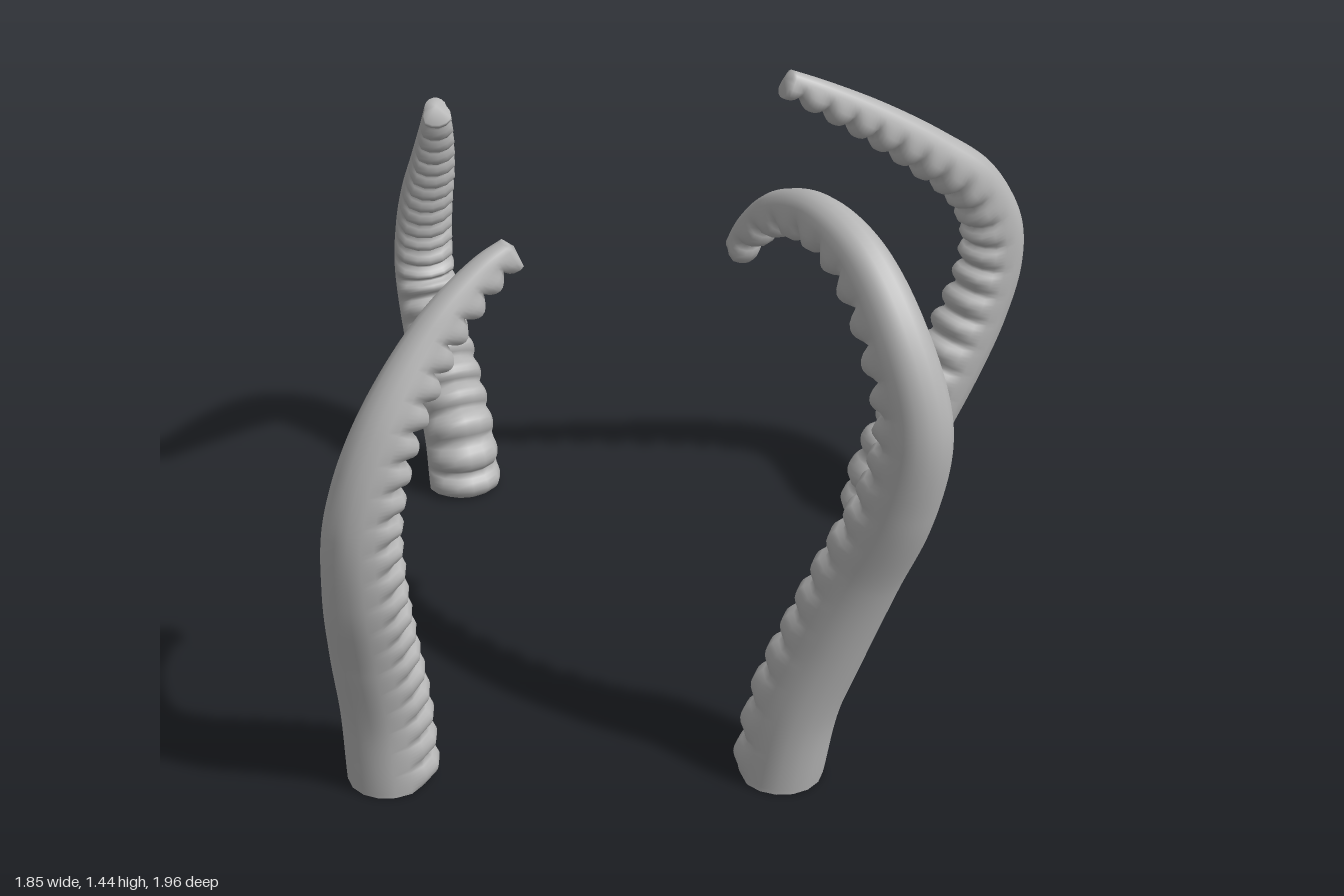
import * as THREE from 'three';

const SIDES = 16, RIDGES = 21.6, ROWS = 150;
const UP = new THREE.Vector3(0, 1, 0);

// Each tentacle: centre line points and the horizontal direction its suckers face
const TENTACLES = [
  { name: 'frontRightTentacle', face: [0.72, -0.69], path: [
    [-0.55, 0, 0.75], [-0.555, 0.2, 0.76], [-0.56, 0.4, 0.81], [-0.555, 0.6, 0.87], [-0.54, 0.8, 0.895],
    [-0.485, 1.0, 0.86], [-0.385, 1.2, 0.75], [-0.29, 1.31, 0.66], [-0.24, 1.345, 0.62]] },
  { name: 'frontLeftTentacle', face: [-0.71, -0.71], path: [
    [0.385, 0, 0.6], [0.42, 0.2, 0.6], [0.49, 0.4, 0.605], [0.565, 0.6, 0.62], [0.64, 0.8, 0.655],
    [0.668, 1.0, 0.67], [0.61, 1.2, 0.63], [0.52, 1.34, 0.54], [0.42, 1.39, 0.44],
    [0.32, 1.36, 0.34], [0.25, 1.28, 0.27], [0.22, 1.22, 0.24]] },
  { name: 'backRightTentacle', face: [0.48, 0.88], path: [
    [-0.69, 0, -0.665], [-0.705, 0.15, -0.685], [-0.755, 0.3, -0.765], [-0.815, 0.45, -0.86], [-0.845, 0.6, -0.9],
    [-0.83, 0.75, -0.86], [-0.79, 0.9, -0.76], [-0.735, 1.05, -0.63], [-0.68, 1.2, -0.48], [-0.645, 1.3, -0.37]] },
  { name: 'backLeftTentacle', face: [-0.91, 0.41], path: [
    [0.56, 0, -0.68], [0.59, 0.15, -0.695], [0.66, 0.3, -0.73], [0.735, 0.45, -0.775], [0.8, 0.6, -0.82],
    [0.84, 0.75, -0.85], [0.835, 0.87, -0.85], [0.77, 1.0, -0.82], [0.655, 1.1, -0.77],
    [0.5, 1.21, -0.7], [0.35, 1.3, -0.63], [0.26, 1.345, -0.595]] },
];

// Tapered tube with rounded ridges along its inner side
function tentacleGeometry({ path, face }) {
  const curve = new THREE.CatmullRomCurve3(path.map(p => new THREE.Vector3(...p)));
  curve.arcLengthDivisions = 400;
  const inward = new THREE.Vector3(face[0], 0, face[1]).normalize();
  const across = new THREE.Vector3().crossVectors(UP, inward);
  const pos = [], index = [];

  for (let i = 0; i <= ROWS; i++) {
    const t = i / ROWS;
    const centre = curve.getPointAt(t);
    // the first rows turn level so the foot is cut flat
    const along = curve.getTangentAt(t).lerp(UP, Math.max(0, 1 - t * 10)).normalize();
    const inner = new THREE.Vector3().crossVectors(across, along).normalize();
    const side = new THREE.Vector3().crossVectors(along, inner);
    const radius = 0.104 * (1 - 0.72 * Math.pow(t, 1.6));
    const ridge = Math.pow(Math.abs(Math.sin(Math.PI * RIDGES * t)), 0.7);
    const height = 0.3 + 0.55 * t * t;
    for (let j = 0; j < SIDES; j++) {
      const a = j / SIDES * Math.PI * 2;
      const w = THREE.MathUtils.smoothstep(Math.cos(a), 0.05, 0.75);
      const r = radius * (1 - 0.12 * w + height * ridge * w);
      const p = centre.clone().addScaledVector(inner, r * Math.cos(a)).addScaledVector(side, r * Math.sin(a));
      pos.push(p.x, p.y, p.z);
    }
  }
  for (let i = 0; i < ROWS; i++) for (let j = 0; j < SIDES; j++) {
    const k = (j + 1) % SIDES;
    const a = i * SIDES + j, b = i * SIDES + k;
    index.push(a, b, b + SIDES, a, b + SIDES, a + SIDES);
  }
  // blunt rounded tip
  const tip = curve.getPointAt(1).addScaledVector(curve.getTangentAt(1), 0.012);
  const pole = pos.push(tip.x, tip.y, tip.z) / 3 - 1;
  const last = ROWS * SIDES;
  for (let j = 0; j < SIDES; j++) index.push(last + j, last + (j + 1) % SIDES, pole);
  // flat foot with its own corners for a sharp edge
  const foot = pos.length / 3;
  pos.push(...pos.slice(0, SIDES * 3), ...path[0]);
  for (let j = 0; j < SIDES; j++) index.push(foot + (j + 1) % SIDES, foot + j, foot + SIDES);

  const geometry = new THREE.BufferGeometry();
  geometry.setAttribute('position', new THREE.Float32BufferAttribute(pos, 3));
  geometry.setIndex(index);
  geometry.computeVertexNormals();
  return geometry;
}

export function createModel() {
  const group = new THREE.Group();
  group.name = 'tentacles';
  const skin = new THREE.MeshStandardMaterial({ color: 0xb4b4b4 });
  skin.name = 'greySkin';
  for (const spec of TENTACLES) {
    const mesh = new THREE.Mesh(tentacleGeometry(spec), skin);
    mesh.name = spec.name;
    group.add(mesh);
  }
  return group;
}
